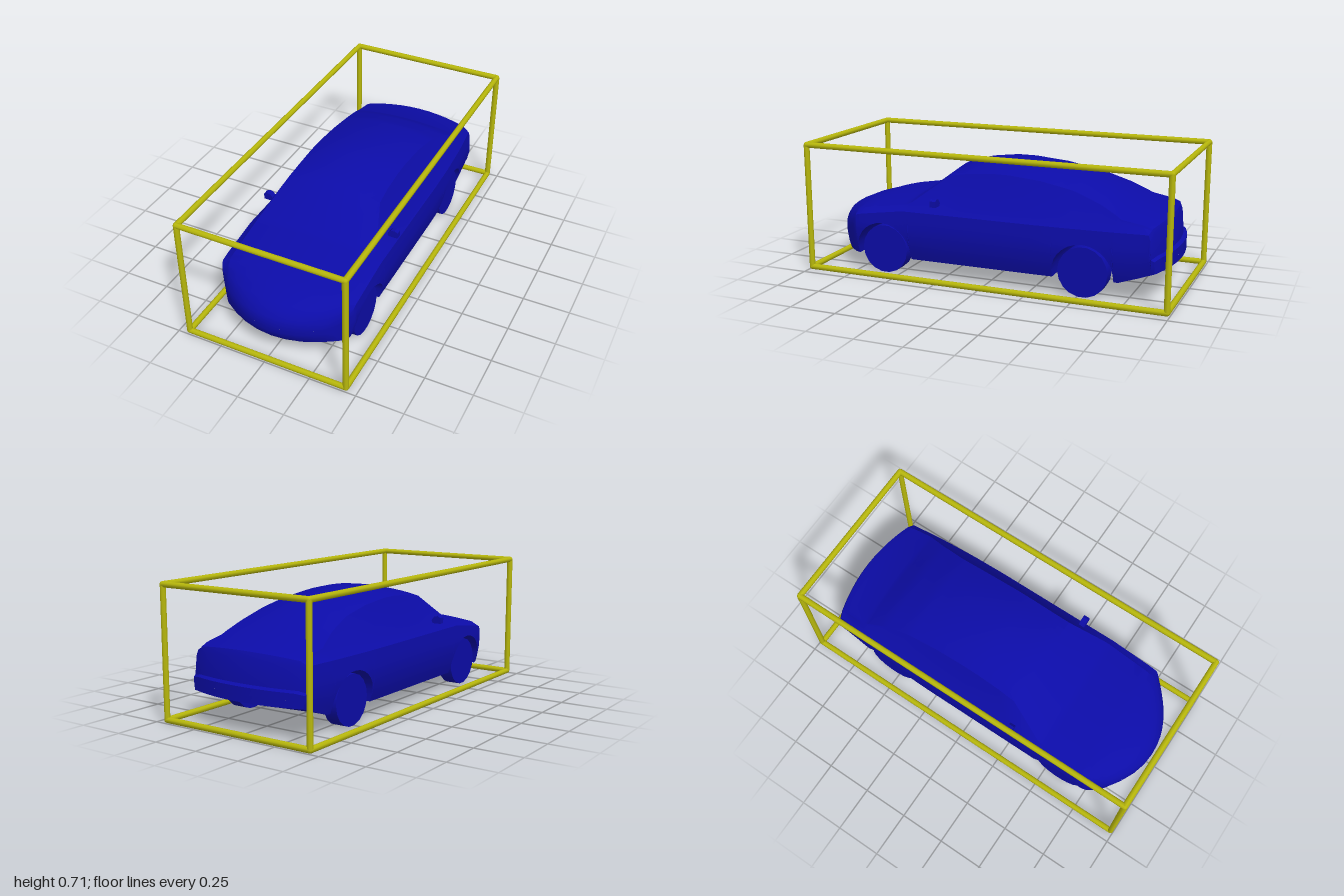
import * as THREE from 'three';
import { toCreasedNormals } from 'three/addons/utils/BufferGeometryUtils.js';

const paint = new THREE.MeshStandardMaterial({ color: 0x0c0ca8 });
const yellow = new THREE.MeshStandardMaterial({ color: 0xb8b80c });

// body stations, nose to tail: z, bottom, top, width factor, roof edge x, roof edge drop
const STATIONS = [
  [0.955, 0.18, 0.235, 0.76, 0.24, 0.012],
  [0.945, 0.145, 0.26, 0.82, 0.26, 0.015],
  [0.92, 0.112, 0.295, 0.88, 0.28, 0.02],
  [0.89, 0.105, 0.315, 0.92, 0.3, 0.022],
  [0.82, 0.1, 0.345, 0.97, 0.32, 0.025],
  [0.7, 0.095, 0.375, 0.99, 0.33, 0.025],
  [0.45, 0.095, 0.416, 1, 0.335, 0.025],
  [0.42, 0.095, 0.435, 1, 0.33, 0.032],
  [0.23, 0.095, 0.578, 1, 0.262, 0.03],
  [0.13, 0.095, 0.602, 1, 0.257, 0.038],
  [0, 0.095, 0.62, 1, 0.255, 0.045],
  [-0.1, 0.095, 0.62, 1, 0.255, 0.045],
  [-0.27, 0.095, 0.605, 1, 0.256, 0.045],
  [-0.45, 0.095, 0.567, 0.99, 0.262, 0.04],
  [-0.6, 0.095, 0.51, 0.97, 0.285, 0.035],
  [-0.72, 0.1, 0.442, 0.95, 0.315, 0.025],
  [-0.86, 0.138, 0.417, 0.92, 0.31, 0.02],
  [-0.91, 0.153, 0.402, 0.91, 0.305, 0.02],
  [-0.924, 0.156, 0.37, 0.91, 0.305, 0.018],
  [-0.935, 0.16, 0.25, 0.91, 0.31, 0.004],
  [-0.955, 0.165, 0.24, 0.9, 0.305, 0.004],
];
// half width of the flank by height
const FLANK = [[0.09, 0.35], [0.14, 0.367], [0.2, 0.38], [0.26, 0.385], [0.36, 0.375], [0.42, 0.34]];
const AXLES = [0.58, -0.53];
const ARCH_R = 0.158, ARCH_Y = 0.127;

// linear lookup in a table sorted by its first column
function lookup(table, key) {
  const dir = Math.sign(table[1][0] - table[0][0]);
  let i = 0;
  while (i < table.length - 2 && (key - table[i + 1][0]) * dir > 0) i++;
  const a = table[i], b = table[i + 1];
  const t = THREE.MathUtils.clamp((key - a[0]) / (b[0] - a[0]), 0, 1);
  return a.map((v, k) => v + (b[k] - v) * t);
}

// rounds the nose and tail in plan
function bend(z, x) {
  if (z > 0.74) return z - ((z - 0.74) / 0.215) * 0.12 * (x / 0.3) ** 2;
  if (z < -0.69) return z + ((-0.69 - z) / 0.265) * 0.06 * (x / 0.335) ** 2;
  return z;
}

// one closed cross-section, counter-clockwise seen from the front
function section(z, archZ, flatten) {
  const [, base, top, w, edgeX, drop] = lookup(STATIONS, z);
  const dz = z - archZ;
  const low = archZ === null ? base : ARCH_Y + Math.sqrt(Math.max(0, ARCH_R ** 2 - dz * dz));
  const edgeY = top - drop;
  const beltY = Math.min(0.36, base + 0.9 * (edgeY - base));
  const flankX = y => lookup(FLANK, y)[1] * w;
  const half = [];
  for (let i = 0; i < 4; i++) half.push([flankX(low) * i / 4, low]);
  for (let i = 0; i <= 6; i++) {
    const y = low + (beltY - low) * i / 6;
    half.push([flankX(y), y]);
  }
  half.push([0.342 * w, Math.min(0.4, beltY + 0.75 * (edgeY - beltY))]);
  for (let i = 5; i >= 0; i--) half.push([edgeX * i / 5, top - drop * (i / 5) ** 2]);
  const mirrored = half.slice(1, -1).reverse().map(([x, y]) => [-x, y]);
  const mid = (base + top) / 2;
  return [...half, ...mirrored].map(([x, y]) => [x, flatten ? mid : y, bend(z, x)]);
}

function bodyGeometry() {
  // plain stations plus closely spaced ones through each wheel arch
  const list = STATIONS.map(s => s[0])
    .filter(z => AXLES.every(a => Math.abs(z - a) > ARCH_R + 0.002))
    .map(z => ({ z, arch: null }));
  for (const a of AXLES) {
    for (const s of [1, -1]) list.push({ z: a + s * (ARCH_R + 0.0005), arch: null });
    for (let i = 0; i <= 14; i++) list.push({ z: a + ARCH_R * Math.cos(Math.PI * i / 14), arch: a });
  }
  list.sort((p, q) => q.z - p.z);
  const rings = list.map(s => section(s.z, s.arch, false));
  // closing faces at both ends
  rings.unshift(section(list[0].z, null, true));
  rings.push(section(list[list.length - 1].z, null, true));

  const n = rings[0].length, index = [];
  for (let i = 0; i < rings.length - 1; i++) {
    for (let j = 0; j < n; j++) {
      const a = i * n + j, b = i * n + (j + 1) % n;
      index.push(a, a + n, b, b, a + n, b + n);
    }
  }
  const geo = new THREE.BufferGeometry();
  geo.setAttribute('position', new THREE.Float32BufferAttribute(rings.flat(2), 3));
  geo.setIndex(index);
  return toCreasedNormals(geo, 0.45);
}

function add(parent, name, geo, mat, x = 0, y = 0, z = 0) {
  const mesh = new THREE.Mesh(geo, mat);
  mesh.name = name;
  mesh.position.set(x, y, z);
  parent.add(mesh);
  return mesh;
}

export function createModel() {
  const model = new THREE.Group();
  model.name = 'carInFrame';

  const car = new THREE.Group();
  car.name = 'car';
  model.add(car);
  add(car, 'body', bodyGeometry(), paint);

  // wheels
  const wheel = new THREE.CylinderGeometry(0.131, 0.131, 0.076, 18).rotateZ(Math.PI / 2);
  for (const z of AXLES) {
    for (const s of [1, -1]) add(car, z > 0 ? 'frontWheel' : 'rearWheel', wheel, paint, s * 0.313, 0.135, z);
  }

  // door mirrors
  const outline = [[0.325, 0.4], [0.388, 0.4], [0.388, 0.432], [0.372, 0.441], [0.35, 0.437], [0.338, 0.422]];
  for (const s of [1, -1]) {
    const shape = new THREE.Shape(outline.map(([x, y]) => new THREE.Vector2(s * x, y)));
    const geo = new THREE.ExtrudeGeometry(shape, { depth: 0.032, bevelEnabled: false });
    add(car, s > 0 ? 'leftMirror' : 'rightMirror', geo, paint, 0, 0, 0.257);
  }

  // box frame of round bars with ball corners
  const frame = new THREE.Group();
  frame.name = 'frame';
  model.add(frame);
  const R = 0.0155, X = 0.457 - R, Z = 1 - R, Y0 = R, Y1 = 0.706 - R;
  const bar = len => new THREE.CylinderGeometry(R, R, len, 8).rotateY(Math.PI / 8);
  const alongX = bar(2 * X).rotateZ(Math.PI / 2);
  const alongY = bar(Y1 - Y0);
  const alongZ = bar(2 * Z).rotateX(Math.PI / 2);
  const ball = new THREE.SphereGeometry(R, 8, 6);
  for (const s of [1, -1]) {
    for (const y of [Y0, Y1]) {
      add(frame, 'crossBar', alongX, yellow, 0, y, s * Z);
      add(frame, 'longBar', alongZ, yellow, s * X, y, 0);
      for (const t of [1, -1]) add(frame, 'corner', ball, yellow, s * X, y, t * Z);
    }
    for (const t of [1, -1]) add(frame, 'upright', alongY, yellow, s * X, (Y0 + Y1) / 2, t * Z);
  }
  return model;
}
